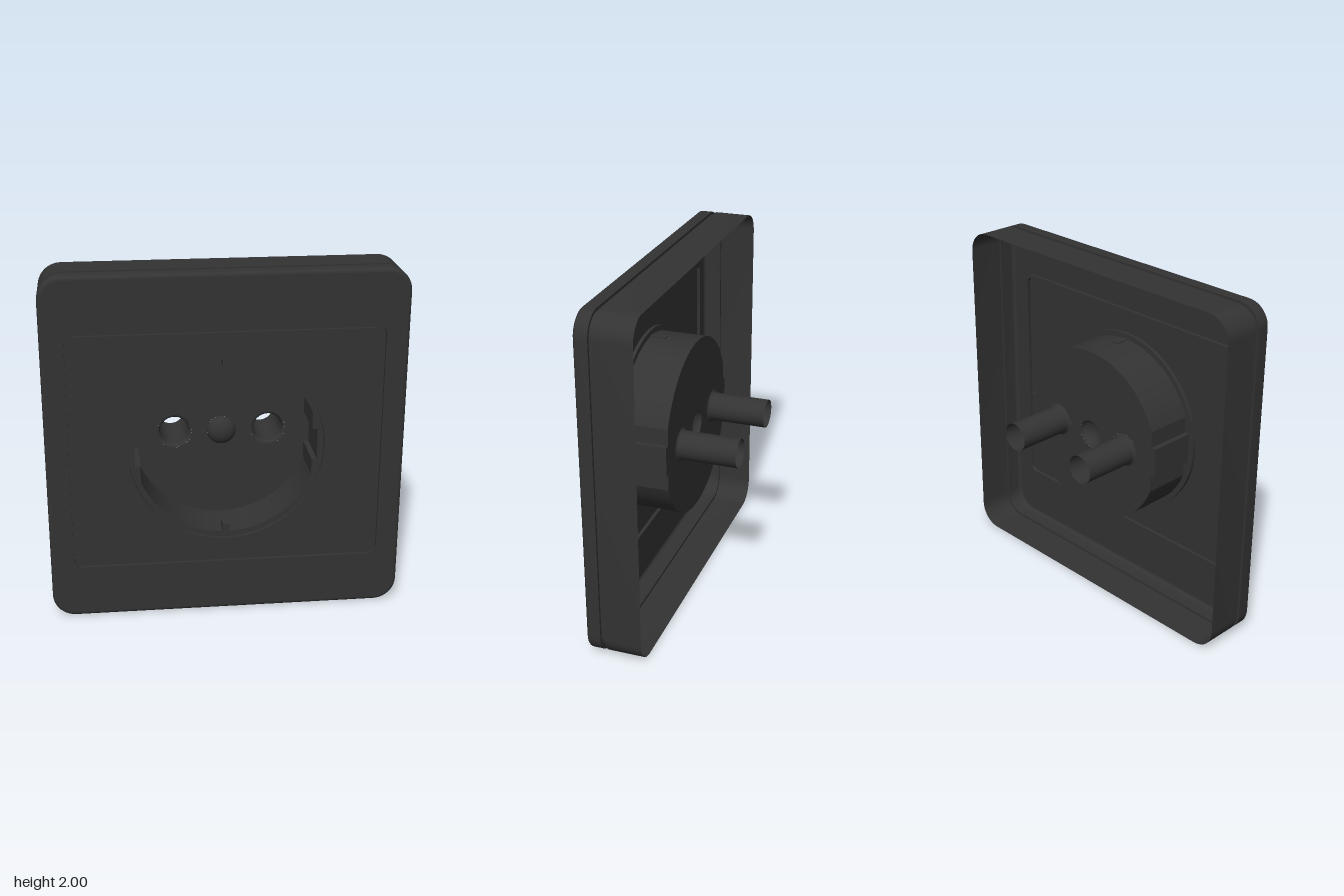
import * as THREE from 'three';
import { toCreasedNormals } from 'three/addons/utils/BufferGeometryUtils.js';

const material = new THREE.MeshStandardMaterial({ color: 0x333333, side: THREE.DoubleSide });

const FRONT = 0.32, FLOOR = 0.025, LEDGE = 0.3, BACK = -0.32;
const RIM_R = 0.547, CUP_R = 0.515, HOLE_X = 0.27, HOLE_R = 0.1, PIN_R = 0.083;

// Rounded rectangle loop, counter-clockwise seen from the front
function roundedRect(hw, hh, r, n = 10) {
  const pts = [];
  [[1, 1], [-1, 1], [-1, -1], [1, -1]].forEach(([sx, sy], q) => {
    for (let i = 0; i <= n; i++) {
      const a = (q + i / n) * Math.PI / 2;
      pts.push(new THREE.Vector2(sx * (hw - r) + r * Math.cos(a), sy * (hh - r) + r * Math.sin(a)));
    }
  });
  return pts;
}

function circle(r, x = 0, n = 64) {
  return Array.from({ length: n }, (_, i) => {
    const a = i / n * Math.PI * 2;
    return new THREE.Vector2(x + r * Math.cos(a), r * Math.sin(a));
  });
}

// Skin between successive closed loops, each given as [points, z]
function loft(loops, crease = 0.6) {
  const n = loops[0][0].length, pos = [], index = [];
  loops.forEach(([pts, z]) => pts.forEach(p => pos.push(p.x, p.y, z)));
  for (let k = 0; k < loops.length - 1; k++) {
    for (let i = 0; i < n; i++) {
      const j = (i + 1) % n, a = k * n + i, b = k * n + j;
      index.push(a, b, b + n, a, b + n, a + n);
    }
  }
  const g = new THREE.BufferGeometry();
  g.setAttribute('position', new THREE.Float32BufferAttribute(pos, 3));
  g.setIndex(index);
  return toCreasedNormals(g, crease);
}

// Flat sheet with holes at depth z
function sheet(outline, holes, z) {
  const s = new THREE.Shape(outline);
  holes.forEach(h => s.holes.push(new THREE.Path(h)));
  return new THREE.ShapeGeometry(s).translate(0, 0, z);
}

// Circle with a flat on each side and a contact notch in each flat
function cupOutline() {
  const fx = 0.48, fy = Math.sqrt(CUP_R ** 2 - fx ** 2), a0 = Math.atan2(fy, fx), n = 40;
  const half = [[0.51, -0.09], [0.51, 0.09], [fx, 0.09]].map(p => new THREE.Vector2(...p));
  for (let i = 0; i <= n; i++) {
    const a = a0 + (Math.PI - 2 * a0) * i / n;
    half.push(new THREE.Vector2(CUP_R * Math.cos(a), CUP_R * Math.sin(a)));
  }
  half.push(new THREE.Vector2(-fx, 0.09));
  return [...half, ...half.map(p => p.clone().negate())];
}

export function createModel() {
  const model = new THREE.Group();
  const body = new THREE.Group();
  body.name = 'socket';
  body.position.y = 1;
  model.add(body);
  const add = (name, geometry) => {
    const m = new THREE.Mesh(geometry, material);
    m.name = name;
    body.add(m);
    return m;
  };

  // Open-backed housing: side wall, shadow gap, filleted front edge
  const outer = inset => roundedRect(1 - inset, 1 - inset, 0.13 - inset);
  const shell = [[outer(0), 0], [outer(0), 0.21], [outer(0.016), 0.21],
    [outer(0.016), 0.237], [outer(0), 0.237]];
  for (let i = 0; i <= 5; i++) {
    const a = i / 5 * Math.PI / 2, f = 0.02;
    shell.push([outer(f * (1 - Math.cos(a))), FRONT - f + f * Math.sin(a)]);
  }
  add('housing', loft(shell));

  // Front frame and the groove round the centre panel
  const panel = inset => roundedRect(0.87 - inset, 0.693 - inset, 0.06 - inset);
  add('frontFrame', sheet(outer(0.02), [panel(0)], FRONT));
  add('panelGroove', loft([[panel(0), FRONT], [panel(0), FRONT - 0.02],
    [panel(0.021), FRONT - 0.02], [panel(0.021), FRONT]]));
  add('centrePanel', sheet(panel(0.021), [circle(RIM_R)], FRONT));

  // Recessed cup with its stepped rim
  const cup = cupOutline();
  add('cupRim', loft([[circle(RIM_R), FRONT], [circle(RIM_R), LEDGE]]));
  add('cupLedge', sheet(circle(RIM_R), [cup], LEDGE));
  add('cupWall', loft([[cup, LEDGE], [cup, FLOOR]], 0.4));
  add('cupFloor', sheet(cup,
    [circle(HOLE_R, HOLE_X), circle(HOLE_R, -HOLE_X), circle(PIN_R)], FLOOR));

  // Guide ribs at the top and bottom of the cup
  for (const s of [1, -1]) {
    add('guideRib', new THREE.BoxGeometry(0.042, 0.045, 0.09)).position.set(0, s * 0.4975, 0.253);
  }

  // Contact sleeves with a flared mouth, open at both ends
  for (const s of [1, -1]) {
    const loops = [];
    for (let i = 0; i <= 4; i++) {
      const a = i / 4 * Math.PI / 2;
      loops.push([circle(HOLE_R - (HOLE_R - PIN_R) * Math.sin(a), s * HOLE_X, 40),
        FLOOR - 0.02 * (1 - Math.cos(a))]);
    }
    loops.push([circle(PIN_R, s * HOLE_X, 40), BACK]);
    add('contactSleeve', loft(loops));
  }

  // Domed screw cover in the middle, hollow behind
  const dome = [];
  for (let i = 0; i <= 8; i++) {
    const a = i / 8 * Math.PI / 2;
    dome.push(new THREE.Vector2(Math.max(PIN_R * Math.cos(a), 0), 0.055 * Math.sin(a)));
  }
  add('screwCover', new THREE.LatheGeometry(dome, 40).rotateX(Math.PI / 2)).position.z = FLOOR;

  return model;
}
